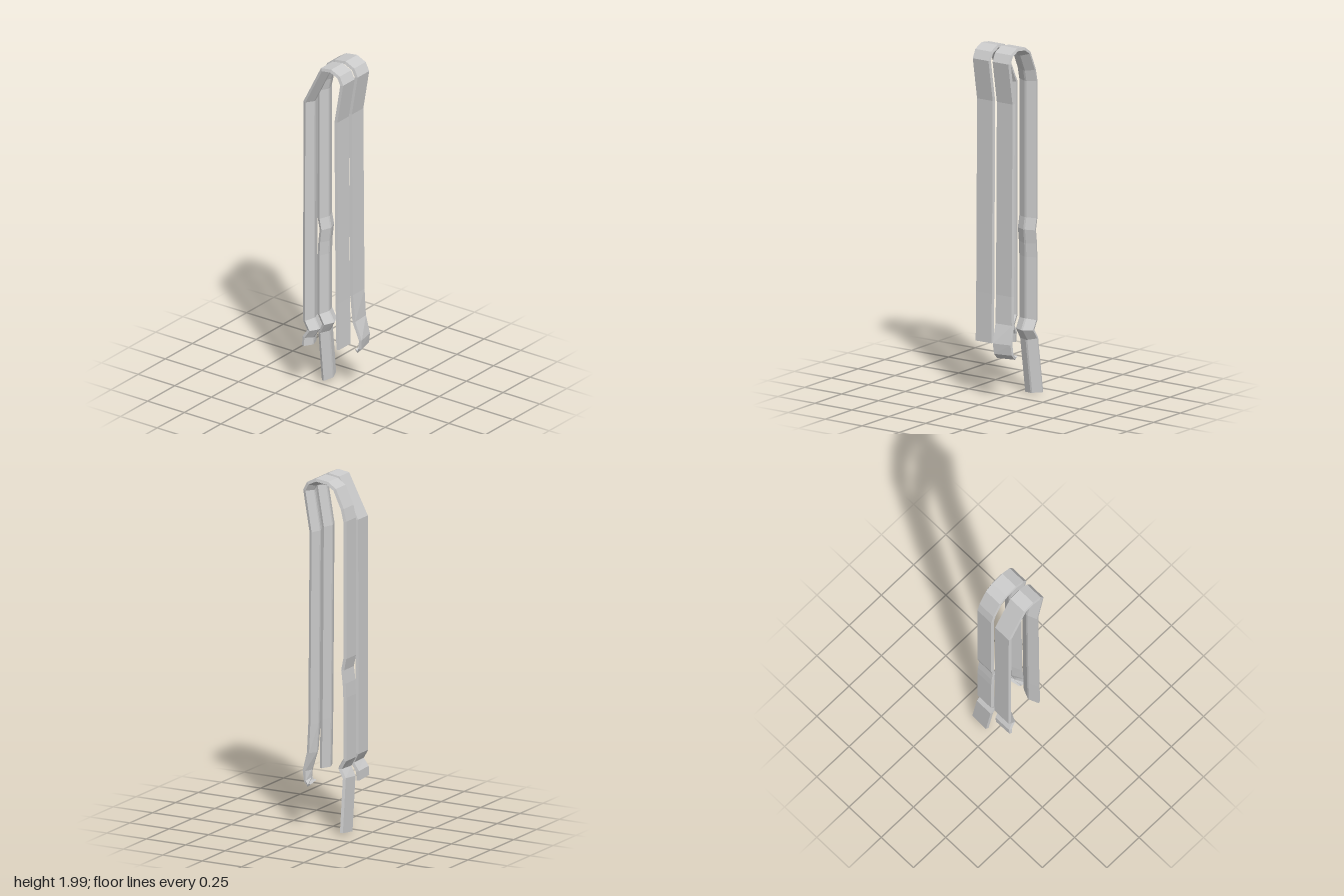
import * as THREE from 'three';

// Strap cross-section: across the width, and depth below the outer face (bevelled edges, ridged inside)
const SECTION = [[-0.053, 0], [0.053, 0], [0.058, 0.016], [0.006, 0.038], [-0.006, 0.038], [-0.058, 0.016]];

// Sweeps the section along stations [x, y, z, yaw, roll, thickness] lying on the outer face
function strapGeometry(stations) {
  const points = stations.map(([x, y, z]) => new THREE.Vector3(x, y, z));
  const rings = stations.map(([, , , yaw = 0, roll = 0, thick = 1], i) => {
    const p = points[i];
    const before = p.clone().sub(points[Math.max(i - 1, 0)]).normalize();
    const after = points[Math.min(i + 1, points.length - 1)].clone().sub(p).normalize();
    const tangent = before.clone().add(after).normalize();
    // Lengthen the depth at bends so the strap keeps its thickness
    const miter = before.lengthSq() && after.lengthSq() ? 1 / Math.max(before.dot(tangent), 0.8) : 1;
    const across = new THREE.Vector3(1, 0, 0).applyEuler(new THREE.Euler(0, yaw, roll));
    const out = across.clone().cross(tangent).normalize();
    return SECTION.map(([w, d]) => p.clone().addScaledVector(across, w).addScaledVector(out, -d * thick * miter));
  });

  const pos = [];
  const tri = (...corners) => corners.forEach((c) => pos.push(c.x, c.y, c.z));
  const n = SECTION.length;
  for (let i = 0; i < rings.length - 1; i++) {
    for (let j = 0; j < n; j++) {
      const k = (j + 1) % n, a = rings[i], b = rings[i + 1];
      tri(a[j], a[k], b[k]);
      tri(a[j], b[k], b[j]);
    }
  }
  // End caps
  const first = rings[0], last = rings[rings.length - 1];
  for (let j = 1; j < n - 1; j++) {
    tri(first[0], first[j + 1], first[j]);
    tri(last[0], last[j], last[j + 1]);
  }
  const geometry = new THREE.BufferGeometry();
  geometry.setAttribute('position', new THREE.Float32BufferAttribute(pos, 3));
  geometry.computeVertexNormals();
  return geometry;
}

export function createModel() {
  const group = new THREE.Group();
  const material = new THREE.MeshStandardMaterial({ color: 0xcccccc, flatShading: true });
  const addStrap = (name, stations) => {
    const mesh = new THREE.Mesh(strapGeometry(stations), material);
    mesh.name = name;
    group.add(mesh);
  };

  // Rise of the front leg into the rounded fold, shared by both straps
  const frontRise = (x) => [
    [x, 0.6, 0.095], [x, 1.1, 0.091], [x, 1.69, 0.087],
    [x, 1.925, 0.127], [x, 1.973, 0.103], [x, 2.0, 0.045],
  ];

  // Left strap: curled front end, two kinks in the back leg and a slanted tail
  const l = 0.055;
  addStrap('leftStrap', [
    [0.076, 0.262, 0.082, 0.22, 0, 0.45],
    [0.073, 0.247, 0.1, 0.22, 0, 0.6],
    [0.071, 0.275, 0.126, 0.22, 0, 0.8],
    [0.068, 0.335, 0.134, 0.2],
    [0.06, 0.44, 0.104, 0.06],
    ...frontRise(l),
    [l, 1.99, -0.03], [l, 1.957, -0.08], [l, 1.85, -0.13], [l, 1.78, -0.146],
    [l, 1.0, -0.146], [l, 0.935, -0.133], [l, 0.86, -0.142], [l, 0.78, -0.146],
    [l, 0.42, -0.146], [l, 0.37, -0.117, 0, 0.04], [0.06, 0.32, -0.146, 0, 0.1],
    [0.094, 0.014, -0.147, 0, 0.12],
  ]);

  // Right strap: straight front end, flatter back of the fold and a short tail
  const r = -0.079;
  addStrap('rightStrap', [
    [r, 0.32, 0.1],
    ...frontRise(r),
    [r, 1.99, -0.025], [r, 1.76, -0.143],
    [r, 1.0, -0.146],
    [r, 0.43, -0.146], [r, 0.38, -0.118, 0, -0.03], [-0.084, 0.335, -0.146, 0, -0.06],
    [-0.089, 0.282, -0.147, 0, -0.08],
  ]);

  return group;
}
